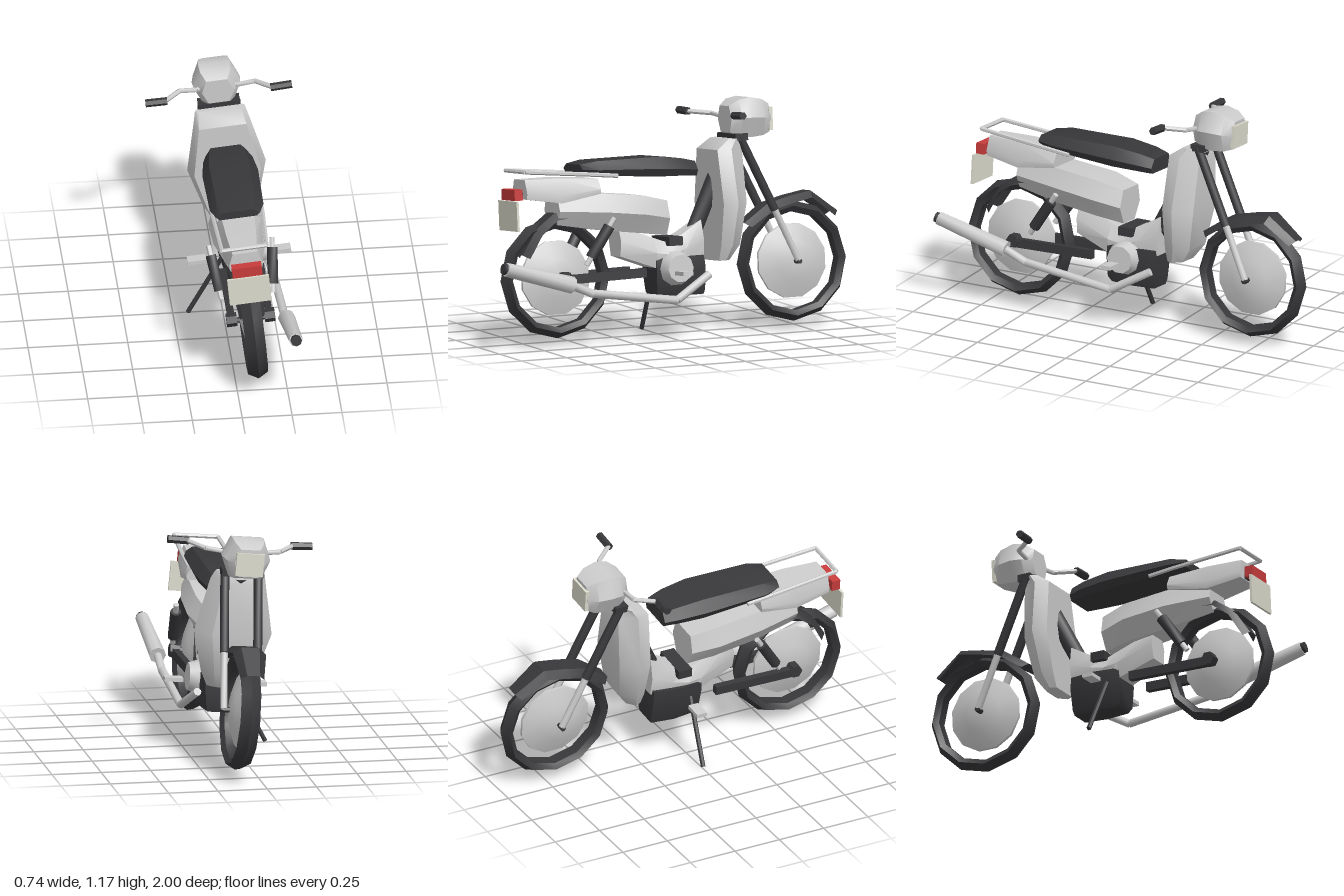
import * as THREE from 'three';
import { toCreasedNormals } from 'three/addons/utils/BufferGeometryUtils.js';

const paint = (color, side = THREE.FrontSide) => new THREE.MeshStandardMaterial({ color, side });
const GREY = paint(0xcccccc);
const DARK = paint(0x38383b);
const DARK_THIN = paint(0x38383b, THREE.DoubleSide);
const RED = paint(0xc83c3c);
const CREAM = paint(0xdcdbcd);

export function createModel() {
  const model = new THREE.Group();
  model.name = 'moped';

  // Everything hangs in one group that leans onto the side stand
  const bike = new THREE.Group();
  bike.name = 'leaningBike';
  bike.rotation.z = 0.095;
  bike.position.x = 0.114;
  model.add(bike);

  const add = (name, geo, mat, pos = [0, 0, 0], crease = 0.7) => {
    const mesh = new THREE.Mesh(toCreasedNormals(geo, crease), mat);
    mesh.name = name;
    mesh.position.set(...pos);
    bike.add(mesh);
    return mesh;
  };
  const box = (name, size, pos, mat) => add(name, new THREE.BoxGeometry(...size), mat, pos);

  // Round rod from a to b, optionally tapered
  const rod = (name, a, b, r, mat, sides = 8, r2 = r) => {
    const va = new THREE.Vector3(...a), vb = new THREE.Vector3(...b);
    const dir = vb.clone().sub(va);
    const mesh = add(name, new THREE.CylinderGeometry(r2, r, dir.length(), sides), mat,
      va.clone().lerp(vb, 0.5).toArray(), 0.9);
    mesh.quaternion.setFromUnitVectors(new THREE.Vector3(0, 1, 0), dir.normalize());
    return mesh;
  };
  const pipe = (name, pts, r, mat, sides = 8) => {
    for (let i = 1; i < pts.length; i++) rod(name, pts[i - 1], pts[i], r, mat, sides);
  };

  // Skin through rings of points; closed rings get end caps and outward faces
  const loft = (name, rings, mat, closed = true, crease = 0.7) => {
    const n = rings[0].length, pos = rings.flat(), idx = [];
    for (let i = 0; i < rings.length - 1; i++) {
      for (let j = 0; j < (closed ? n : n - 1); j++) {
        const a = i * n + j, b = i * n + (j + 1) % n;
        idx.push(a, b, a + n, b, b + n, a + n);
      }
    }
    if (closed) {
      const last = (rings.length - 1) * n;
      for (let j = 1; j < n - 1; j++) idx.push(0, j + 1, j, last, last + j, last + j + 1);
      let volume = 0;
      const v = pos.map(p => new THREE.Vector3(...p));
      for (let k = 0; k < idx.length; k += 3) {
        volume += v[idx[k]].dot(v[idx[k + 1]].clone().cross(v[idx[k + 2]]));
      }
      if (volume < 0) idx.reverse();
    }
    const geo = new THREE.BufferGeometry();
    geo.setAttribute('position', new THREE.Float32BufferAttribute(pos.flat(), 3));
    geo.setIndex(idx);
    return add(name, geo.toNonIndexed(), mat, [0, 0, 0], crease);
  };
  // Six-sided outline: half width w, low/high limits, narrower at both ends
  const hexagon = (w, lo, hi, kLo, kHi, mid = 0.5) => {
    const m = lo + (hi - lo) * mid;
    return [[w * kHi, hi], [w, m], [w * kLo, lo], [-w * kLo, lo], [-w, m], [-w * kHi, hi]];
  };
  // Loft along z from rows [z, low y, high y, half width]
  const hull = (name, rows, mat, kLo, kHi, mid) => loft(name, rows.map(([z, lo, hi, w]) =>
    hexagon(w, lo, hi, kLo, kHi, mid).map(([x, y]) => [x, y, z])), mat);
  // Loft along y from rows [y, low z, high z, half width]
  const column = (name, rows, mat, kLo, kHi, mid) => loft(name, rows.map(([y, lo, hi, w]) =>
    hexagon(w, lo, hi, kLo, kHi, mid).map(([x, z]) => [x, y, z])), mat);

  // Wheels: pointed tyre, open gap, domed disc
  const WHEEL_Y = 0.345;
  const lathe = (pts, phase) => new THREE.LatheGeometry(
    pts.map(p => new THREE.Vector2(...p)), 12, phase).rotateZ(Math.PI / 2);
  for (const [end, z] of [['front', -0.7], ['rear', 0.61]]) {
    add(end + 'Tyre', lathe([[0.248, -0.03], [0.275, -0.05], [0.303, 0], [0.275, 0.05],
      [0.248, 0.03], [0.248, -0.03]], 0), DARK, [0, WHEEL_Y, z]);
    add(end + 'WheelDisc', lathe([[0, -0.058], [0.1, -0.042], [0.19, -0.008], [0.19, 0.008],
      [0.1, 0.042], [0, 0.058]], Math.PI / 12), GREY, [0, WHEEL_Y, z]);
    rod(end + 'Axle', [-0.1, WHEEL_Y, z], [0.1, WHEEL_Y, z], 0.014, DARK, 6);
  }

  // Mudguards: folded strips whose edges turn toward the axle
  const mudguard = (name, zc, path) => loft(name, path.map(([z, y, w]) => {
    const d = new THREE.Vector2(zc - z, WHEEL_Y - y).setLength(0.035);
    return [[-w, y + d.y, z + d.x], [-w * 0.55, y, z], [w * 0.55, y, z], [w, y + d.y, z + d.x]];
  }), DARK_THIN, false, 0.5);
  mudguard('frontMudguard', -0.7,
    [[-0.43, 0.55, 0.07], [-0.56, 0.64, 0.085], [-0.68, 0.67, 0.085], [-0.8, 0.69, 0.085], [-0.95, 0.58, 0.06]]);
  mudguard('rearMudguard', 0.61,
    [[0.36, 0.62, 0.08], [0.5, 0.68, 0.08], [0.62, 0.67, 0.08], [0.72, 0.6, 0.08], [0.8, 0.47, 0.06]]);

  // Fork, headlamp and handlebar
  for (const s of [-1, 1]) {
    rod('forkUpper', [s * 0.085, 0.99, -0.4], [s * 0.085, 0.61, -0.58], 0.023, DARK);
    rod('forkLower', [s * 0.085, 0.62, -0.575], [s * 0.085, 0.35, -0.7], 0.018, GREY);
    pipe('handlebar', [[0, 1.085, -0.42], [s * 0.1, 1.085, -0.39], [s * 0.19, 1.095, -0.385],
      [s * 0.27, 1.108, -0.29]], 0.012, GREY);
    rod('grip', [s * 0.26, 1.107, -0.29], [s * 0.368, 1.11, -0.29], 0.02, DARK, 6);
  }
  box('forkCrown', [0.21, 0.035, 0.07], [0, 0.985, -0.405], DARK);
  hull('headlampShell', [[-0.365, 1.01, 1.14, 0.08], [-0.41, 0.985, 1.17, 0.115], [-0.47, 0.98, 1.18, 0.122],
    [-0.54, 0.985, 1.165, 0.11], [-0.585, 1, 1.14, 0.075]], GREY, 0.66, 0.66);
  box('headlampLens', [0.14, 0.115, 0.02], [0, 1.065, -0.587], CREAM);

  // Leg shield and the dark tube behind it
  column('legShield', [[0.375, -0.33, -0.26, 0.1], [0.45, -0.38, -0.26, 0.14], [0.66, -0.41, -0.26, 0.198],
    [0.93, -0.412, -0.26, 0.14], [0.98, -0.4, -0.33, 0.125]], GREY, 0.6, 0.85, 0.55);
  rod('downTube', [0, 0.96, -0.38], [0, 0.45, -0.13], 0.043, DARK, 8);

  // Central frame and engine
  hull('lowerFrame', [[0.27, 0.43, 0.585, 0.07], [0.08, 0.36, 0.51, 0.09], [0.01, 0.365, 0.485, 0.09],
    [-0.08, 0.37, 0.52, 0.085], [-0.19, 0.385, 0.585, 0.07]], GREY, 0.8, 0.6);
  column('engineBlock', [[0.215, -0.18, 0.06, 0.075], [0.24, -0.185, 0.08, 0.085],
    [0.35, -0.185, 0.085, 0.105], [0.41, -0.18, 0.085, 0.1]], DARK, 0.8, 0.8);
  rod('engineCover', [0.08, 0.355, -0.02], [0.145, 0.355, -0.02], 0.09, GREY, 10, 0.07);
  box('carburettor', [0.2, 0.045, 0.075], [0, 0.49, -0.02], DARK);

  // Side panels, tail and seat
  hull('sidePanels', [[0.61, 0.61, 0.745, 0.09], [0.38, 0.57, 0.755, 0.135], [0.15, 0.54, 0.73, 0.142],
    [0.01, 0.52, 0.695, 0.105]], GREY, 0.55, 0.75);
  hull('tail', [[0.39, 0.755, 0.83, 0.115], [0.6, 0.72, 0.845, 0.105], [0.785, 0.75, 0.847, 0.085]],
    GREY, 0.95, 0.72, 0.3);
  hull('seat', [[-0.155, 0.81, 0.882, 0.105], [-0.08, 0.815, 0.9, 0.125], [0.06, 0.82, 0.918, 0.14],
    [0.4, 0.845, 0.918, 0.135], [0.485, 0.865, 0.905, 0.11]], DARK, 0.85, 0.72, 0.4);

  // Rear rack, lamp and plate
  pipe('rearRack', [[-0.125, 0.84, 0.3], [-0.125, 0.855, 0.44], [-0.113, 0.89, 0.805], [0.113, 0.89, 0.805],
    [0.125, 0.855, 0.44], [0.125, 0.84, 0.3]], 0.011, GREY, 6);
  box('tailLamp', [0.15, 0.055, 0.045], [0, 0.775, 0.828], RED);
  box('tailLampBracket', [0.07, 0.03, 0.05], [0, 0.77, 0.79], DARK);
  box('numberPlate', [0.21, 0.15, 0.012], [0, 0.67, 0.85], CREAM);

  // Swingarm, shocks and foot pegs
  for (const s of [-1, 1]) {
    const arm = box('swingarm', [0.035, 0.045, 0.46], [s * 0.095, 0.34, 0.385], DARK);
    arm.rotation.x = 0.02;
    rod('swingarmBolt', [s * 0.07, 0.345, 0.6], [s * 0.122, 0.345, 0.6], 0.035, DARK, 6);
    const top = new THREE.Vector3(s * 0.16, 0.635, 0.345), low = new THREE.Vector3(s * 0.13, 0.405, 0.495);
    const along = t => top.clone().lerp(low, t).toArray();
    rod('shockRod', along(0), along(1), 0.014, GREY);
    rod('shockBody', along(0.18), along(0.84), 0.028, DARK);
    box('footPeg', [0.095, 0.02, 0.055], [s * 0.213, 0.335, -0.003], GREY);
  }

  // Side stand
  rod('sideStand', [-0.09, 0.34, 0.02], [-0.286, 0.04, 0.005], 0.012, DARK, 6);

  // Exhaust
  pipe('exhaustPipe', [[0.12, 0.315, -0.185], [0.158, 0.2, 0.015], [0.172, 0.265, 0.49], [0.178, 0.32, 0.62]],
    0.021, GREY);
  rod('muffler', [0.178, 0.315, 0.6], [0.198, 0.418, 0.975], 0.043, GREY, 8, 0.035);
  rod('mufflerTip', [0.198, 0.418, 0.97], [0.199, 0.422, 0.992], 0.028, DARK, 8);

  return model;
}
